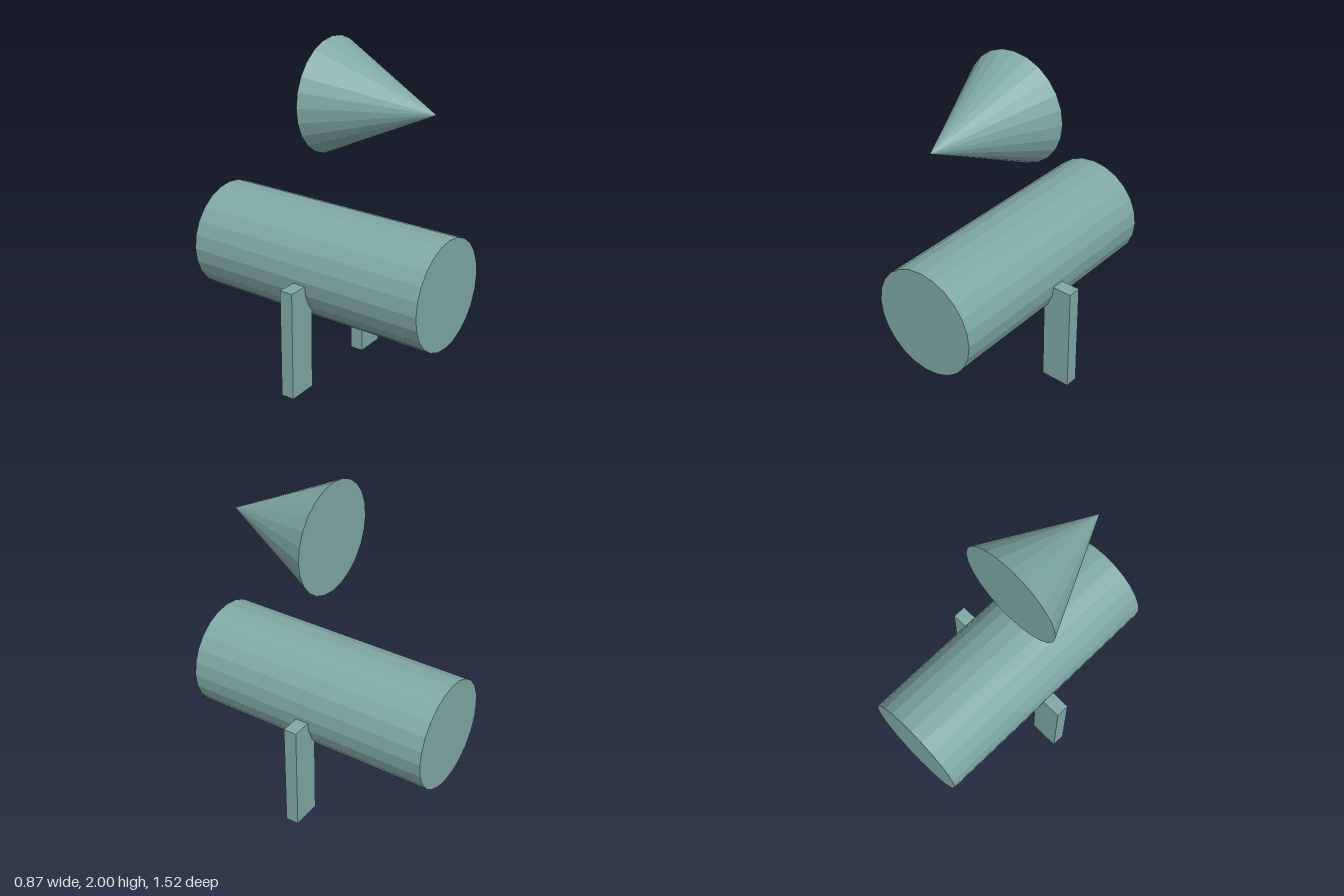
import * as THREE from 'three';

const RADIUS = 0.323;
const SIDES = 24;

export function createModel() {
  const group = new THREE.Group();
  const material = new THREE.MeshStandardMaterial({ color: 0x7fa8a5, flatShading: true });

  const addPart = (name, geometry, x, y, z) => {
    const mesh = new THREE.Mesh(geometry, material);
    mesh.name = name;
    mesh.position.set(x, y, z);
    group.add(mesh);
  };

  // Horizontal barrel lying front to back
  const barrel = new THREE.CylinderGeometry(RADIUS, RADIUS, 1.52, SIDES).rotateX(Math.PI / 2);
  addPart('barrel', barrel, 0, 0.685, 0);

  // Separate cone above the barrel, its tip pointing forward
  const coneLength = 0.654;
  const cone = new THREE.ConeGeometry(RADIUS, coneLength, SIDES).rotateX(Math.PI / 2);
  addPart('noseCone', cone, 0, 2 - RADIUS, coneLength / 2);

  // Flat upright legs that run into the barrel's sides
  for (const side of [1, -1]) {
    const leg = new THREE.BoxGeometry(0.182, 0.66, 0.08);
    addPart(side > 0 ? 'leftLeg' : 'rightLeg', leg, side * 0.346, 0.33, 0);
  }

  return group;
}
